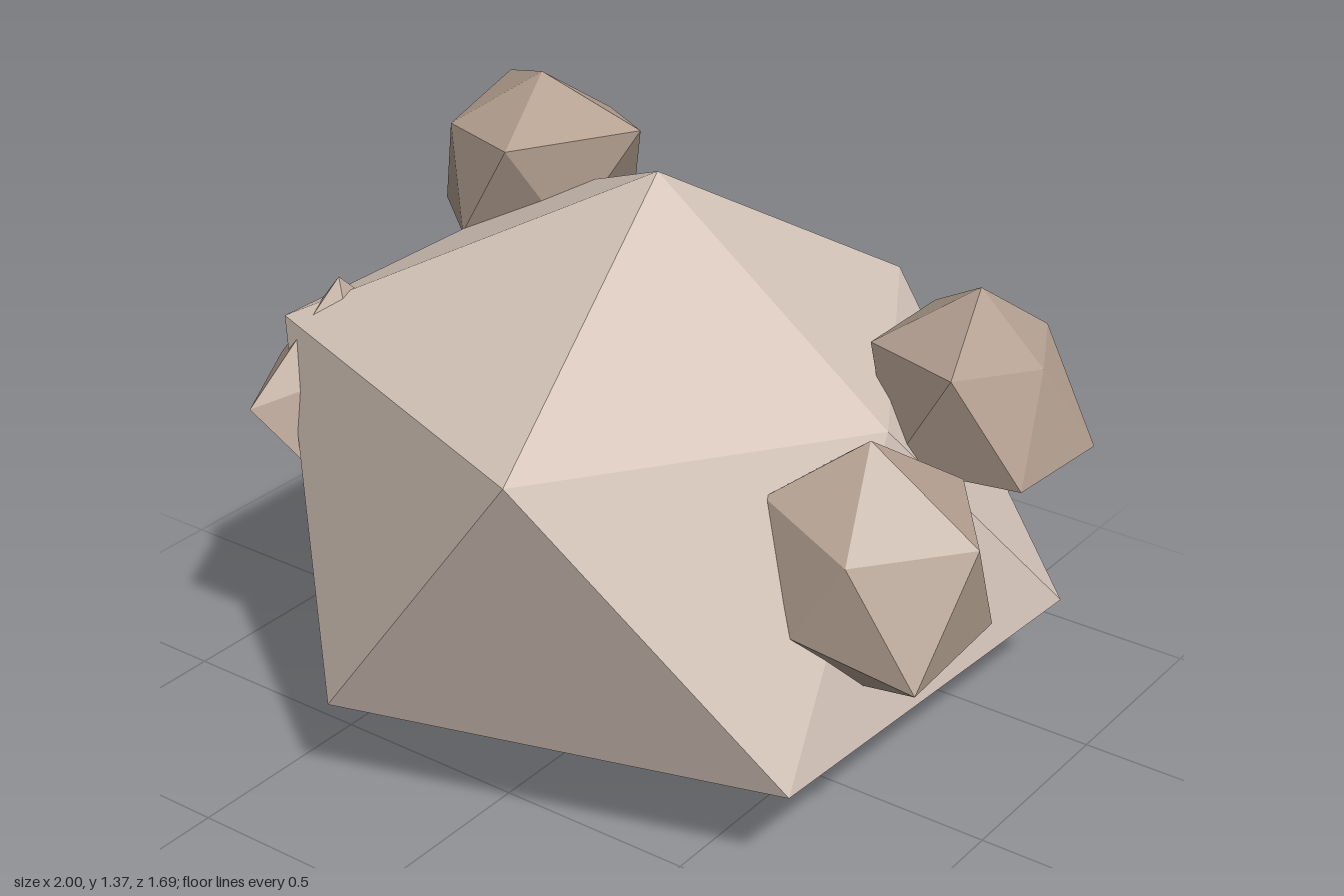
import * as THREE from 'three';

// A faceted stone with icosahedron topology: two poles and two staggered
// rings of five corners. Each ring entry is [distance from axis, height].
function stone(name, color, { x, z, top, bottom, upper, lower, yaw = 0, topShift = 0 }) {
  const ring = (entries, start) => entries.map(([r, y], i) => {
    const a = THREE.MathUtils.degToRad(start + yaw + 72 * i);
    return [x + r * Math.cos(a), y, z + r * Math.sin(a)];
  });
  const u = ring(upper, 0), l = ring(lower, 36);
  const t = [x + topShift, top, z], b = [x, bottom, z];
  const corners = [];
  for (let i = 0; i < 5; i++) {
    const j = (i + 1) % 5;
    corners.push(t, u[j], u[i], u[i], u[j], l[i], l[i], u[j], l[j], b, l[i], l[j]);
  }
  const geometry = new THREE.BufferGeometry();
  geometry.setAttribute('position', new THREE.Float32BufferAttribute(corners.flat(), 3));
  geometry.computeVertexNormals();
  const mesh = new THREE.Mesh(geometry, new THREE.MeshStandardMaterial({ color, flatShading: true }));
  mesh.name = name;
  return mesh;
}

export function createModel() {
  const group = new THREE.Group();
  group.name = 'boulder';
  const pale = 0xd6c6bb, brown = 0xb5a192;

  // Large central boulder
  group.add(stone('mainBoulder', pale, {
    x: -0.03, z: -0.13, top: 1.37, bottom: 0,
    upper: [[0.65, 0.89], [1.02, 1.05], [0.885, 1.0], [0.885, 1.0], [0.755, 0.94]],
    lower: [[0.96, 0.25], [0.94, 0.26], [0.87, 0.295], [0.75, 0.35], [1.01, 0.23]],
  }));

  // Small stones stuck to its sides
  group.add(stone('leftFrontStone', brown, {
    x: 0.715, z: 0.1, top: 0.99, bottom: 0.365,
    upper: [[0.285, 0.81], [0.19, 0.77], [0.23, 0.85], [0.24, 0.82], [0.28, 0.81]],
    lower: [[0.305, 0.515], [0.21, 0.56], [0.24, 0.56], [0.24, 0.56], [0.29, 0.53]],
  }));
  group.add(stone('leftRearStone', brown, {
    x: 0.655, z: -0.46, top: 1.14, bottom: 0.65,
    upper: [[0.175, 0.98], [0.29, 1.03], [0.25, 1.0], [0.255, 1.0], [0.22, 0.99]],
    lower: [[0.28, 0.745], [0.25, 0.75], [0.22, 0.76], [0.21, 0.79], [0.29, 0.73]],
  }));
  group.add(stone('rightRearStone', brown, {
    x: -0.67, z: -0.51, top: 1.37, bottom: 0.77,
    upper: [[0.31, 1.28], [0.27, 1.25], [0.235, 1.23], [0.31, 1.27], [0.21, 1.23]],
    lower: [[0.22, 1.01], [0.25, 0.99], [0.33, 0.95], [0.21, 1.02], [0.23, 1.01]],
  }));
  group.add(stone('rightFrontStone', brown, {
    x: -0.655, z: 0.31, top: 1.1, bottom: 0.53, yaw: 30, topShift: 0.015,
    upper: [[0.14, 0.91], [0.26, 0.83], [0.17, 0.86], [0.22, 0.95], [0.1, 1.02]],
    lower: [[0.21, 0.68], [0.12, 0.68], [0.18, 0.73], [0.13, 0.72], [0.12, 0.7]],
  }));
  return group;
}
